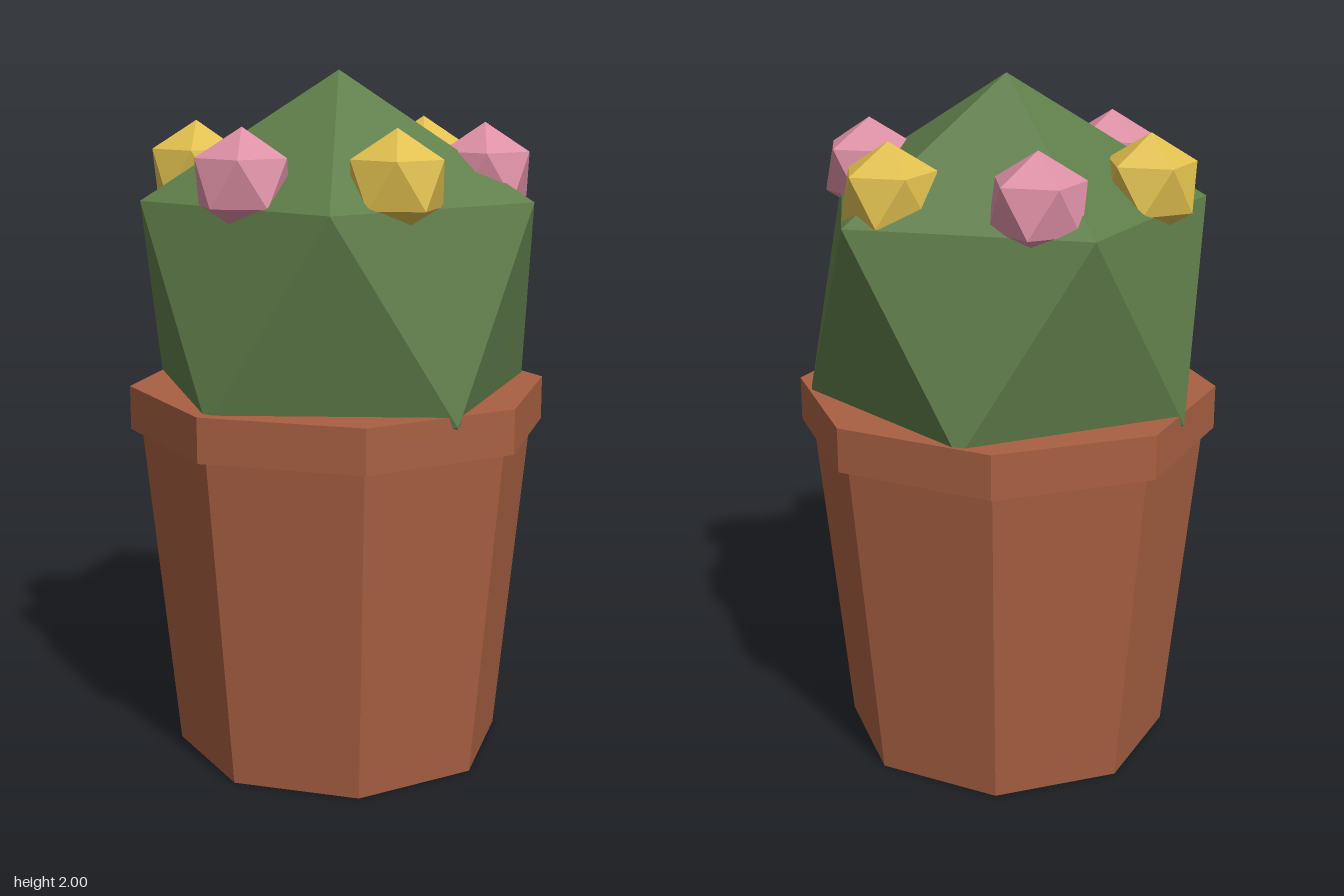
import * as THREE from 'three';

const mat = (name, color) => {
  const m = new THREE.MeshStandardMaterial({ color, flatShading: true });
  m.name = name;
  return m;
};

// Icosahedron turned so that one corner points straight up
function uprightIcosahedron(radius) {
  const g = new THREE.IcosahedronGeometry(radius, 0);
  g.rotateZ(-Math.atan(2 / (1 + Math.sqrt(5))));
  return g;
}

export function createModel() {
  const group = new THREE.Group();
  group.name = 'pottedCactus';
  const terracotta = mat('terracotta', 0xa86042);
  const green = mat('cactusGreen', 0x5f7d4a);
  const pink = mat('pink', 0xdd8fa5);
  const yellow = mat('yellow', 0xe0bf4e);

  const add = (name, geometry, material, x, y, z) => {
    const mesh = new THREE.Mesh(geometry, material);
    mesh.name = name;
    mesh.position.set(x, y, z);
    group.add(mesh);
  };

  // Eight-sided tapered pot and its rim
  add('potBody', new THREE.CylinderGeometry(0.582, 0.484, 1.0, 8), terracotta, 0, 0.5, 0);
  add('potRim', new THREE.CylinderGeometry(0.612, 0.612, 0.128, 8), terracotta, 0, 1.036, 0);

  // Faceted cactus ball
  add('cactus', uprightIcosahedron(0.643), green, 0, 1.357, 0);

  // Ring of alternating flowers
  const flower = uprightIcosahedron(0.145);
  for (let i = 0; i < 6; i++) {
    const a = (i * Math.PI) / 3;
    add('flower' + (i + 1), flower, i % 2 ? pink : yellow,
      0.416 * Math.cos(a), 1.712, 0.416 * Math.sin(a));
  }
  return group;
}
